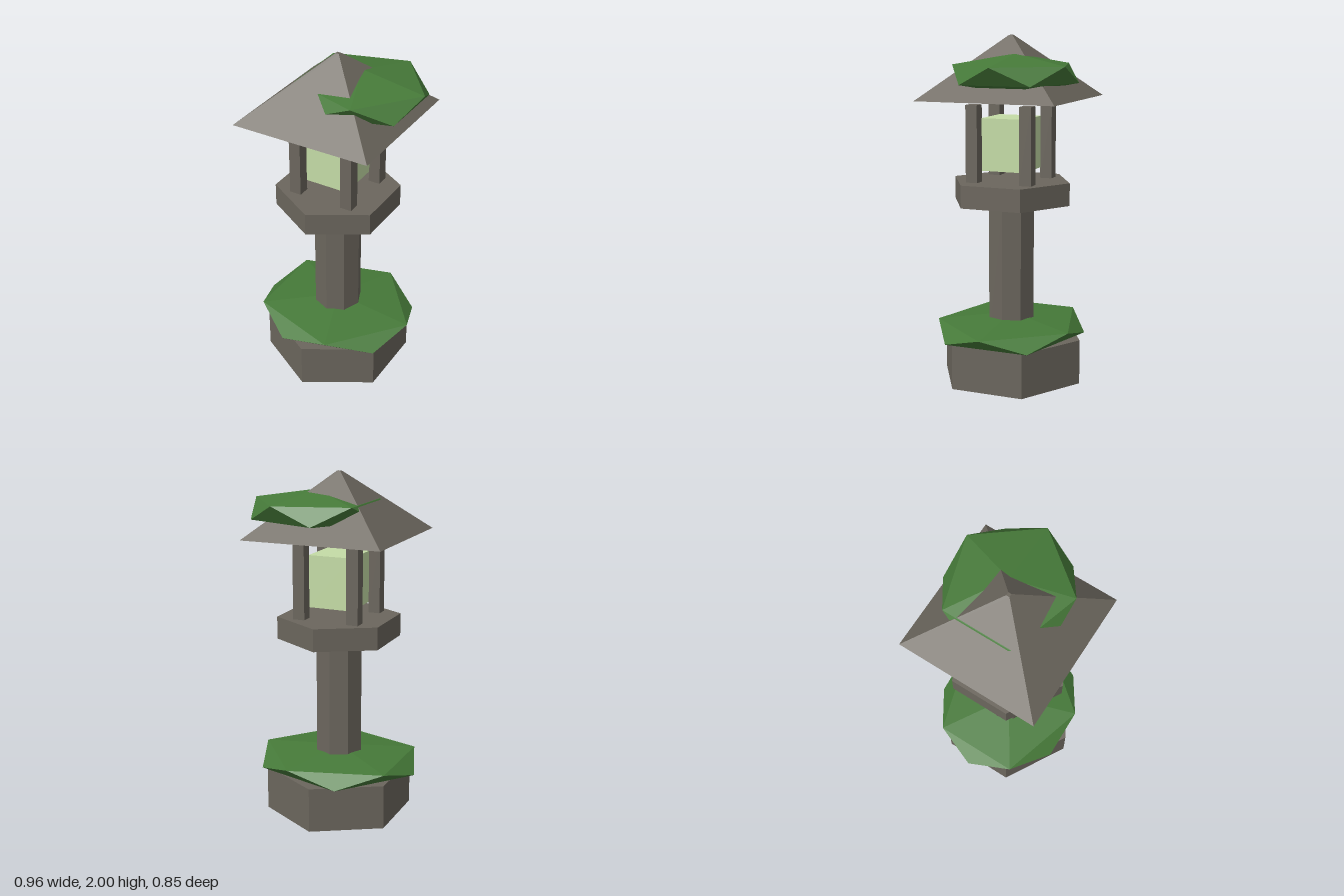
import * as THREE from 'three';

const stone = new THREE.MeshStandardMaterial({ color: 0x6b665d, flatShading: true });
stone.name = 'stone';
const moss = new THREE.MeshStandardMaterial({ color: 0x467a39, flatShading: true });
moss.name = 'moss';
const glow = new THREE.MeshStandardMaterial({ color: 0xc4dca6, flatShading: true });
glow.name = 'lampGlow';

export function createModel() {
  const lantern = new THREE.Group();
  lantern.name = 'stoneLantern';
  const cx = -0.006; // axis of the stonework

  function add(name, geometry, material, x, y, z) {
    const mesh = new THREE.Mesh(geometry, material);
    mesh.name = name;
    mesh.position.set(x, y, z);
    lantern.add(mesh);
    return mesh;
  }

  // Upright prism or frustum between two heights
  function prism(name, rTop, rBottom, y0, y1, sides) {
    const g = new THREE.CylinderGeometry(rTop, rBottom, y1 - y0, sides);
    return add(name, g, stone, cx, (y0 + y1) / 2, 0);
  }

  // Flattened icosahedron standing on one corner
  function mossClump(name, x, y, z, rx, ry, rz) {
    const g = new THREE.IcosahedronGeometry(1, 0);
    g.rotateZ(-Math.atan(2 / (1 + Math.sqrt(5))));
    g.scale(rx, ry, rz);
    g.computeVertexNormals();
    add(name, g, moss, x, y, z);
  }

  // Stonework
  prism('base', 0.427, 0.427, 0, 0.26, 6);
  prism('column', 0.14, 0.14, 0.26, 1.035, 8);
  prism('platform', 0.357, 0.357, 1.045, 1.175, 6);

  // Lamp chamber: four posts around a glowing block
  for (const sx of [-1, 1]) {
    for (const sz of [-1, 1]) {
      add('post', new THREE.BoxGeometry(0.07, 0.44, 0.07), stone, cx + sx * 0.163, 1.395, sz * 0.163);
    }
  }
  add('lamp', new THREE.BoxGeometry(0.26, 0.3, 0.26), glow, cx, 1.387, 0);

  // Square pyramid roof with a tiny flat tip
  prism('roof', 0.014, 0.583, 1.645, 2, 4).rotation.y = Math.PI / 4;

  // Moss on the base and on one side of the roof
  mossClump('baseMoss', cx, 0.302, 0, 0.531, 0.084, 0.476);
  mossClump('roofMoss', 0.104, 1.79, -0.07, 0.42, 0.112, 0.392);

  return lantern;
}
